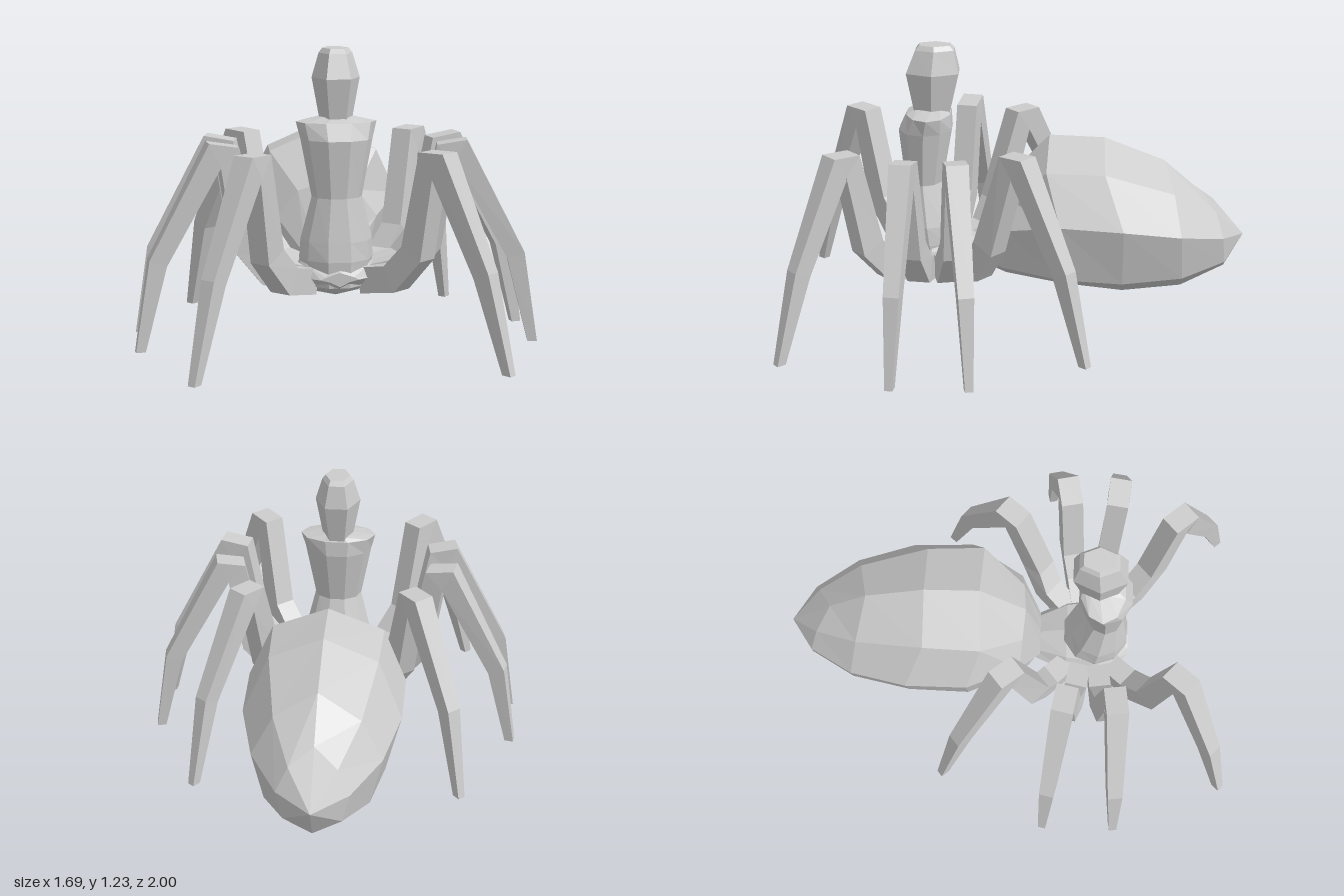
import * as THREE from 'three';

const material = new THREE.MeshStandardMaterial({ color: 0xcccccc, flatShading: true });
const V = (x, y, z) => new THREE.Vector3(x, y, z);

// Skin a list of equal-length rings, closing both ends with a fan.
function loft(name, rings) {
  const n = rings[0].length;
  const tris = [];
  for (let i = 0; i < rings.length - 1; i++) {
    for (let j = 0; j < n; j++) {
      const k = (j + 1) % n;
      const a = rings[i][j], b = rings[i][k], c = rings[i + 1][k], d = rings[i + 1][j];
      tris.push([a, b, c], [a, c, d]);
    }
  }
  const last = rings[rings.length - 1];
  for (let j = 1; j < n - 1; j++) {
    tris.push([rings[0][0], rings[0][j + 1], rings[0][j]], [last[0], last[j], last[j + 1]]);
  }
  // Turn the skin outward if its enclosed volume is negative.
  const volume = tris.reduce((s, [a, b, c]) => s + a.dot(b.clone().cross(c)), 0);
  if (volume < 0) tris.forEach((t) => t.reverse());
  const solid = tris.filter(([a, b, c]) => b.clone().sub(a).cross(c.clone().sub(a)).length() > 1e-7);
  const geometry = new THREE.BufferGeometry().setFromPoints(solid.flat());
  geometry.computeVertexNormals();
  const mesh = new THREE.Mesh(geometry, material);
  mesh.name = name;
  return mesh;
}

// Upright body with elliptical rings: [y, radiusX, radiusZ, centreZ].
function column(name, sides, rows) {
  return loft(name, rows.map(([y, rx, rz, cz]) =>
    Array.from({ length: sides }, (_, i) => {
      const a = (i / sides) * Math.PI * 2;
      return V(rx * Math.cos(a), y, cz + rz * Math.sin(a));
    })));
}

// Symmetric ring from [x, y, z] points running from the top ridge to the keel.
function mirroredRing(half) {
  const right = half.map((p) => V(...p));
  const left = half.slice(1, -1).reverse().map(([x, y, z]) => V(-x, y, z));
  return [...right, ...left];
}

// Square-section limb that tapers along a bent path.
const legSizes = [0.055, 0.058, 0.055, 0.055, 0.055, 0.038, 0.02];
function leg(name, path, side) {
  const pts = path.map(([x, y, z]) => V(x * side, y, z));
  const first = pts[0], tip = pts[pts.length - 1];
  const across = V(tip.x - first.x, 0, tip.z - first.z).normalize().cross(V(0, 1, 0));
  const rings = pts.map((p, i) => {
    const before = p.clone().sub(pts[Math.max(i - 1, 0)]).normalize();
    const after = pts[Math.min(i + 1, pts.length - 1)].clone().sub(p).normalize();
    const up = i === pts.length - 1
      ? V(tip.x - first.x, 0, tip.z - first.z).normalize()
      : across.clone().cross(before.add(after)).normalize();
    const s = legSizes[i];
    return [[1, 1], [-1, 1], [-1, -1], [1, -1]].map(([u, v]) =>
      p.clone().addScaledVector(across, u * s * 0.85).addScaledVector(up, v * s));
  });
  return loft(name, rings);
}

export function createModel() {
  const model = new THREE.Group();
  model.name = 'spiderCreature';

  // Large faceted abdomen, rings leaning from front to pointed rear
  model.add(loft('abdomen', [
    [[0, 0.36, 0.13], [0.06, 0.34, 0.13], [0.1, 0.3, 0.13], [0.07, 0.25, 0.13], [0, 0.22, 0.14]],
    [[0, 0.62, 0.06], [0.13, 0.58, 0.05], [0.22, 0.46, 0.04], [0.17, 0.27, 0.06], [0, 0.18, 0.05]],
    [[0, 0.83, -0.14], [0.24, 0.73, -0.13], [0.34, 0.52, -0.19], [0.28, 0.26, -0.19], [0, 0.13, -0.2]],
    [[0, 0.82, -0.38], [0.23, 0.72, -0.38], [0.335, 0.5, -0.46], [0.27, 0.24, -0.46], [0, 0.1, -0.47]],
    [[0, 0.72, -0.64], [0.18, 0.62, -0.68], [0.27, 0.455, -0.71], [0.22, 0.25, -0.72], [0, 0.13, -0.73]],
    [[0, 0.575, -0.81], [0.1, 0.51, -0.87], [0.15, 0.41, -0.9], [0.12, 0.29, -0.91], [0, 0.23, -0.92]],
    Array(5).fill([0, 0.38, -1]),
  ].map(mirroredRing)));

  // Low thorax linking the legs: [z, half width, bottom y, top y]
  model.add(loft('thorax', [
    [0.53, 0.08, 0.26, 0.32], [0.46, 0.17, 0.22, 0.36], [0.37, 0.19, 0.19, 0.38],
    [0.25, 0.17, 0.2, 0.37], [0.1, 0.1, 0.22, 0.32],
  ].map(([z, w, low, high]) => mirroredRing([
    [0, high, z], [w * 0.75, high - 0.02, z], [w, (low + high) / 2, z], [w * 0.5, low + 0.02, z], [0, low, z],
  ]))));

  // Upright torso and head
  model.add(column('torso', 10, [
    [0.25, 0.14, 0.15, 0.37], [0.36, 0.155, 0.15, 0.38], [0.44, 0.15, 0.13, 0.39],
    [0.62, 0.105, 0.085, 0.41], [0.86, 0.15, 0.12, 0.4], [0.93, 0.168, 0.1, 0.385],
    [0.95, 0.06, 0.07, 0.37],
  ]));
  model.add(column('head', 6, [
    [0.92, 0.065, 0.085, 0.37], [1.11, 0.1, 0.13, 0.365], [1.21, 0.07, 0.095, 0.355],
    [1.23, 0.055, 0.075, 0.355],
  ]));

  // Four legs per side, front to back
  const legs = {
    frontLeg: [[0.12, 0.27, 0.43], [0.23, 0.3, 0.55], [0.305, 0.42, 0.63], [0.35, 0.8, 0.7],
      [0.385, 0.8, 0.745], [0.53, 0.38, 0.89], [0.61, 0, 0.975]],
    frontMiddleLeg: [[0.12, 0.27, 0.39], [0.29, 0.31, 0.41], [0.385, 0.43, 0.43], [0.45, 0.8, 0.45],
      [0.51, 0.81, 0.455], [0.745, 0.37, 0.475], [0.82, 0, 0.49]],
    rearMiddleLeg: [[0.12, 0.27, 0.32], [0.29, 0.31, 0.29], [0.385, 0.43, 0.26], [0.45, 0.8, 0.24],
      [0.51, 0.81, 0.23], [0.745, 0.37, 0.185], [0.82, 0, 0.17]],
    rearLeg: [[0.12, 0.27, 0.27], [0.23, 0.3, 0.16], [0.3, 0.42, 0.11], [0.35, 0.8, 0.01],
      [0.385, 0.8, -0.035], [0.53, 0.39, -0.21], [0.59, 0, -0.3]],
  };
  for (const [name, path] of Object.entries(legs)) {
    model.add(leg(name + 'Left', path, 1), leg(name + 'Right', path, -1));
  }
  return model;
}
